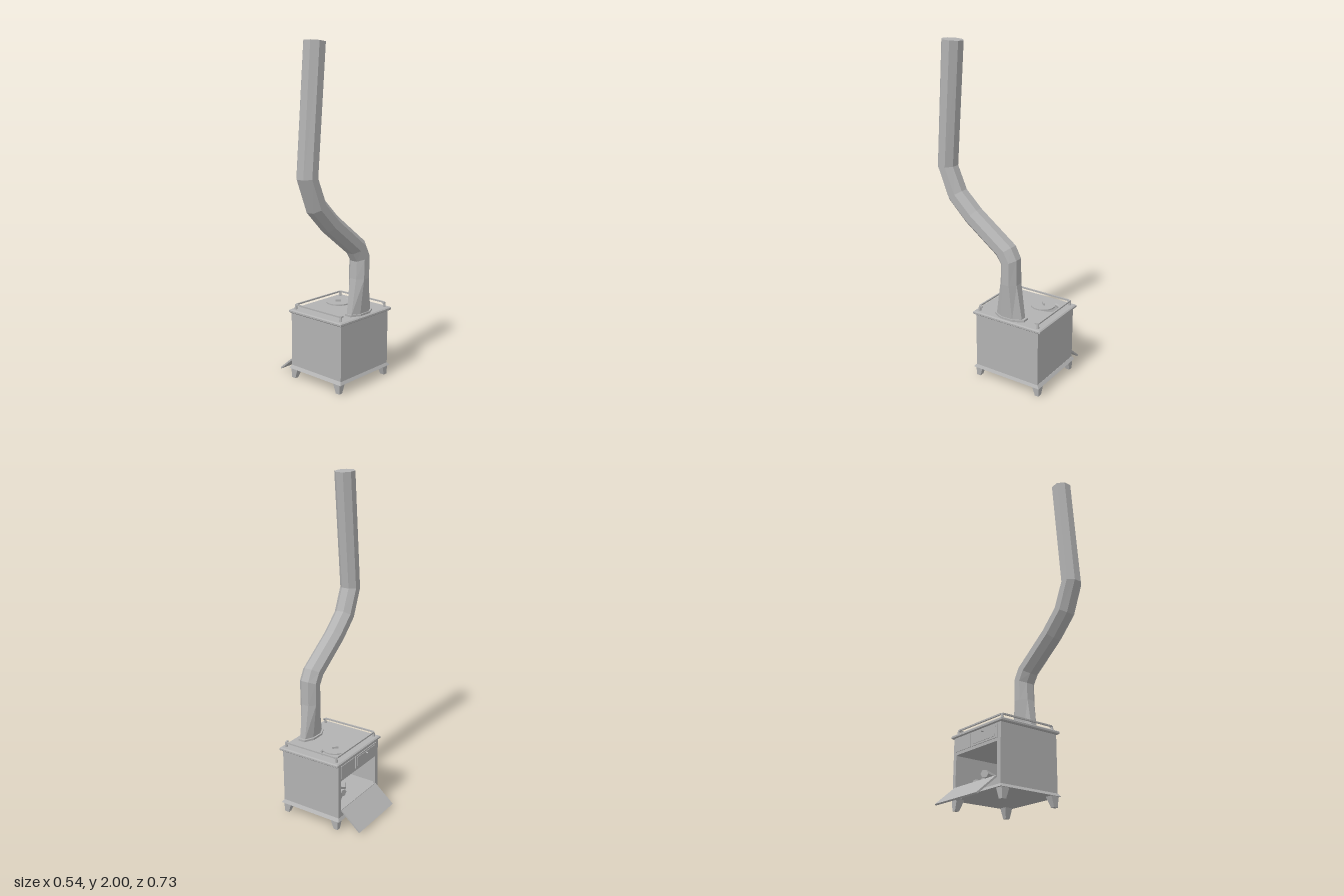
import * as THREE from 'three';

export function createModel() {
  const stove = new THREE.Group();
  stove.name = 'woodStove';
  const iron = new THREE.MeshStandardMaterial({ color: 0xb2b2b2, flatShading: true });
  iron.name = 'grey iron';

  const add = (name, geo, x = 0, y = 0, z = 0, parent = stove) => {
    const m = new THREE.Mesh(geo, iron);
    m.name = name;
    m.position.set(x, y, z);
    parent.add(m);
    return m;
  };
  // box given by its minimum and maximum corners
  const block = (name, x0, x1, y0, y1, z0, z1) =>
    add(name, new THREE.BoxGeometry(x1 - x0, y1 - y0, z1 - z0), (x0 + x1) / 2, (y0 + y1) / 2, (z0 + z1) / 2);
  const rect = (Type, x0, x1, y0, y1) => new Type([[x0, y0], [x1, y0], [x1, y1], [x0, y1]].map(p => new THREE.Vector2(...p)));
  // octagonal loft: each section is [z, y of +z edge, z, y of -z edge, half width in x]
  const loft = (sections, cx) => {
    const pos = [], idx = [], n = 8, k = 1 / Math.cos(Math.PI / n);
    const point = (s, i) => {
      const a = (i + 0.5) * 2 * Math.PI / n, c = Math.cos(a) * k / 2;
      return [cx + s[4] * Math.sin(a) * k, (s[1] + s[3]) / 2 + (s[1] - s[3]) * c, (s[0] + s[2]) / 2 + (s[0] - s[2]) * c];
    };
    sections.forEach((s, r) => {
      for (let i = 0; i < n; i++) {
        pos.push(...point(s, i));
        if (r === 0) continue;
        const a = (r - 1) * n + i, b = (r - 1) * n + (i + 1) % n;
        idx.push(a, b, b + n, a, b + n, a + n);
      }
    });
    const top = (sections.length - 1) * n;
    for (let i = 1; i < n - 1; i++) idx.push(top, top + i, top + i + 1);
    const g = new THREE.BufferGeometry();
    g.setAttribute('position', new THREE.Float32BufferAttribute(pos, 3));
    g.setIndex(idx);
    g.computeVertexNormals();
    return g;
  };

  // firebox walls
  const X0 = -0.14, X1 = 0.26, Z0 = -0.345, Z1 = 0.087, T = 0.012;
  block('frontWall', X0, X1, 0.07, 0.415, Z1 - T, Z1);
  block('backWall', X0, X1, 0.07, 0.415, Z0, Z0 + T);
  block('closedSide', X1 - T, X1, 0.07, 0.415, Z0 + T, Z1 - T);
  block('fireboxFloor', X0 + T, X1 - T, 0.105, 0.118, Z0 + T, Z1 - T);
  block('fireboxCeiling', X0 + T, X1 - T, 0.312, 0.324, Z0 + T, Z1 - T);

  // side with the door opening
  const side = rect(THREE.Shape, Z0 + T, Z1 - T, 0.07, 0.415);
  side.holes.push(rect(THREE.Path, -0.32, 0.057, 0.12, 0.31));
  const sideGeo = new THREE.ExtrudeGeometry(side, { depth: T, bevelEnabled: false });
  sideGeo.rotateY(-Math.PI / 2);
  add('doorSide', sideGeo, X0 + T);

  // flared base, widest at the bottom
  const baseGeo = new THREE.BoxGeometry(0.42, 0.018, 0.462);
  const bp = baseGeo.attributes.position;
  for (let i = 0; i < bp.count; i++)
    if (bp.getY(i) > 0) bp.setXYZ(i, bp.getX(i) * 0.95, bp.getY(i), bp.getZ(i) * 0.94);
  baseGeo.computeVertexNormals();
  add('base', baseGeo, 0.06, 0.069, -0.129);

  // tapered feet with upright outer corners
  for (const sx of [-1, 1]) for (const sz of [-1, 1]) {
    const g = new THREE.BoxGeometry(0.052, 0.062, 0.048);
    const p = g.attributes.position;
    for (let i = 0; i < p.count; i++) {
      if (p.getY(i) > 0) continue;
      if (p.getX(i) * sx < 0) p.setX(i, -sx * 0.006);
      else p.setX(i, sx * 0.022);
      if (p.getZ(i) * sz < 0) p.setZ(i, -sz * 0.004);
      else p.setZ(i, sz * 0.021);
    }
    g.computeVertexNormals();
    add('foot', g, 0.06 + sx * 0.172, 0.031, -0.129 + sz * 0.2);
  }

  // bevelled top plate with the cooking hole
  const plate = rect(THREE.Shape, -0.141, 0.265, -0.096, 0.358);
  const hole = new THREE.Path();
  hole.absarc(-0.024, 0.246, 0.066, 0, Math.PI * 2, true);
  plate.holes.push(hole);
  const plateGeo = new THREE.ExtrudeGeometry(plate, {
    depth: 0.01, bevelThickness: 0.006, bevelSize: 0.007, bevelSegments: 1, curveSegments: 20 });
  plateGeo.rotateX(-Math.PI / 2);
  add('topPlate', plateGeo, 0, 0.418);

  // lid pushed aside from the hole
  add('lid', new THREE.CylinderGeometry(0.074, 0.074, 0.008, 40), -0.021, 0.439, -0.206);
  add('lidHandle', new THREE.BoxGeometry(0.036, 0.012, 0.011), -0.023, 0.449, -0.207).rotation.y = 0.82;

  // guard rail around three sides
  const railPath = [[0.245, -0.316], [0.245, -0.326], [0.235, -0.336], [-0.11, -0.336], [-0.12, -0.326],
    [-0.12, 0.064], [-0.11, 0.074], [0.235, 0.074], [0.245, 0.064], [0.245, 0.054]];
  for (let i = 1; i < railPath.length; i++) {
    const [ax, az] = railPath[i - 1], [bx, bz] = railPath[i];
    const len = Math.hypot(bx - ax, bz - az);
    add('rail', new THREE.BoxGeometry(len + 0.003, 0.009, 0.009), (ax + bx) / 2, 0.462, (az + bz) / 2)
      .rotation.y = -Math.atan2(bz - az, bx - ax);
  }
  for (const x of [-0.118, 0.243]) for (const z of [-0.333, 0.071])
    add('railPost', new THREE.CylinderGeometry(0.007, 0.009, 0.03, 8), x, 0.449, z);

  // drop-down door, hinged at the lower edge of the opening
  const door = new THREE.Group();
  door.name = 'door';
  door.position.set(-0.142, 0.12, -0.1315);
  door.rotation.z = 0.7;
  stove.add(door);
  add('doorPanel', new THREE.BoxGeometry(0.165, 0.01, 0.377), -0.083, 0, 0, door);
  add('doorHandle', new THREE.BoxGeometry(0.012, 0.012, 0.04), -0.145, -0.011, 0, door);

  // drawer and side panel above the opening
  block('drawerFront', X0 - 0.005, X0, 0.328, 0.405, -0.17, 0.06);
  block('drawerInset', X0 - 0.008, X0 - 0.005, 0.338, 0.396, -0.155, 0.045);
  block('sidePanel', X0 - 0.004, X0, 0.328, 0.405, -0.32, -0.182);
  add('drawerKnob', new THREE.CylinderGeometry(0.005, 0.004, 0.016, 8), -0.154, 0.388, -0.06).rotation.z = Math.PI / 2;

  // firewood
  [[0.02, 0.142, -0.24, 0.15], [0.03, 0.142, -0.16, -0.2], [0.02, 0.185, -0.2, 0.5]].forEach(([x, y, z, turn]) => {
    const log = add('log', new THREE.CylinderGeometry(0.024, 0.024, 0.19, 6), x, y, z);
    log.rotation.set(0, turn, Math.PI / 2);
  });

  // chimney collar and bent pipe
  add('chimneyCollar', loft([[-0.03, 0.434, -0.23, 0.434, 0.052], [-0.03, 0.446, -0.23, 0.446, 0.052]], 0.208));
  add('chimney', loft([
    [-0.04, 0.44, -0.216, 0.44, 0.043],
    [-0.073, 0.655, -0.184, 0.655, 0.058],
    [-0.078, 0.76, -0.181, 0.805, 0.059],
    [-0.045, 0.81, -0.145, 0.875, 0.059],
    [0.167, 0.968, 0.093, 1.052, 0.059],
    [0.289, 1.088, 0.195, 1.15, 0.059],
    [0.365, 1.275, 0.254, 1.285, 0.059],
    [0.31, 2.0, 0.195, 1.99, 0.059],
  ], 0.21));

  return stove;
}
